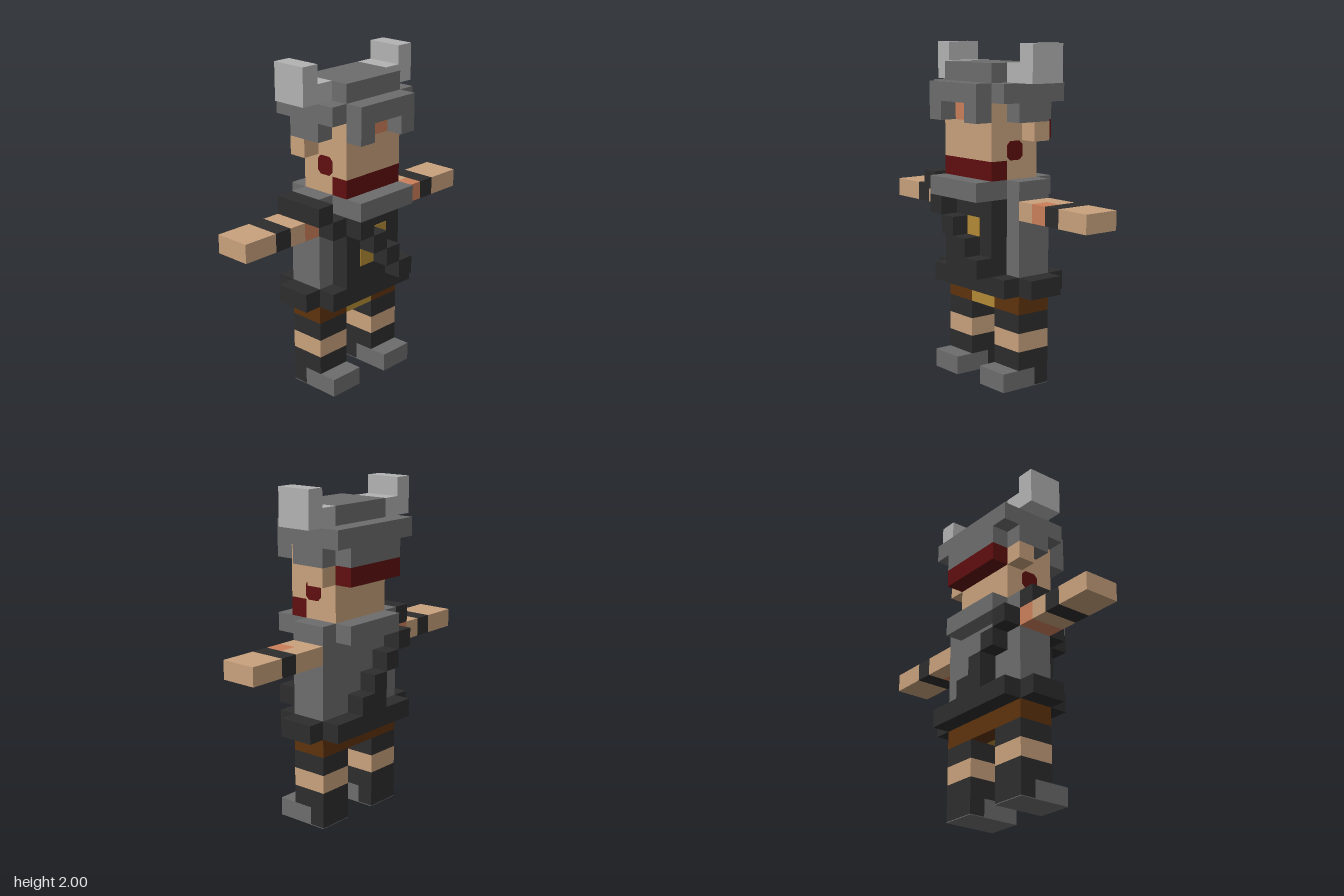
import * as THREE from 'three';

const U = 1 / 9; // one block of the 18-block-tall figure

function material(name, color) {
  const m = new THREE.MeshStandardMaterial({ color });
  m.name = name;
  return m;
}

export function createModel() {
  const model = new THREE.Group();
  model.name = 'hornedWarrior';

  const skin = material('skin', 0xc9a27d);
  const flush = material('flushedSkin', 0xcb7f5b);
  const steel = material('steel', 0x6d6d6d);
  const fur = material('darkFur', 0x2d2d2d);
  const hair = material('redHair', 0x600f0f);
  const gold = material('gold', 0xb38b36);
  const leather = material('brownLeather', 0x5f330d);
  const horn = material('horn', 0xb3b3b3);

  const group = (name) => {
    const g = new THREE.Group();
    g.name = name;
    model.add(g);
    return g;
  };

  // Box between two corners, measured in blocks
  const block = (parent, name, mat, x0, x1, y0, y1, z0, z1) => {
    const geo = new THREE.BoxGeometry((x1 - x0) * U, (y1 - y0) * U, (z1 - z0) * U);
    const mesh = new THREE.Mesh(geo, mat);
    mesh.position.set((x0 + x1) / 2 * U, (y0 + y1) / 2 * U, (z0 + z1) / 2 * U);
    mesh.name = name;
    parent.add(mesh);
  };

  // Same box on the left (+x) or right (-x) side
  const sided = (parent, s, name, mat, x0, x1, ...yz) =>
    block(parent, name, mat, s > 0 ? x0 : -x1, s > 0 ? x1 : -x0, ...yz);

  // Legs with fur bands and steel-toed boots
  for (const s of [1, -1]) {
    const leg = group(s > 0 ? 'leftLeg' : 'rightLeg');
    sided(leg, s, 'bootToe', steel, 1, 3, 0, 1, -0.6, 1.5);
    sided(leg, s, 'bootSole', steel, 1, 3, 0, 0.04, -1.5, -0.6);
    sided(leg, s, 'bootHeel', fur, 1, 3, 0.04, 1, -1.5, -0.6);
    sided(leg, s, 'bootCuff', fur, 1, 3, 1, 2, -1.5, 0.5);
    sided(leg, s, 'knee', skin, 1, 3, 2, 3, -1.5, 0.5);
    sided(leg, s, 'thighBand', fur, 1, 3, 3, 4, -1.5, 0.5);
  }

  // Shorts with a gold buckle
  const shorts = group('shorts');
  block(shorts, 'shortsBack', leather, -3, 3, 4, 5, -1.5, -0.5);
  for (const s of [1, -1]) sided(shorts, s, 'shortsFront', leather, 1, 3, 4, 5, -0.5, 0.5);
  block(shorts, 'buckle', gold, -1, 1, 4, 5, -0.5, 0.5);

  // Fur skirt
  const skirt = group('skirt');
  block(skirt, 'skirtMiddle', fur, -3, 3, 5, 6, -2.5, 1.5);
  for (const s of [1, -1]) sided(skirt, s, 'skirtSide', fur, 3, 4, 5, 6, -1.5, 0.5);

  // Torso, chest fur and steel collar
  const torso = group('torso');
  block(torso, 'mail', steel, -3, 3, 6, 10, -1.5, 0.5);
  block(torso, 'chestFur', fur, -2, 2, 6, 10, 0.5, 1.5);
  block(torso, 'collar', steel, -2, 2, 10, 11, -2.5, 2.5);
  for (const s of [1, -1]) sided(torso, s, 'collarShoulder', steel, 2, 3, 10, 11, -1.5, 0.5);
  block(torso, 'upperGoldPatch', gold, 0, 1, 8, 9, 1.5, 1.54);
  block(torso, 'lowerGoldPatch', gold, -1, 0, 7, 8, 1.5, 1.54);

  // Sash stepping from the right shoulder down the chest and back
  const sash = group('sash');
  block(sash, 'shoulderPad', fur, -4, -3, 10, 11, -1.5, 1.5);
  block(sash, 'sashShoulderFront', fur, -3, -2, 9, 10, 0.5, 1.5);
  for (let i = 0; i < 4; i++) {
    block(sash, 'sashFrontStep', fur, i - 2, i - 1, 9 - i, 10 - i, 1.5, 2.5);
    block(sash, 'sashBackStep', fur, i - 3, i - 2, 9 - i, 10 - i, -2.5, -1.5);
  }
  block(sash, 'sashBackFoot', fur, -1, 0, 6, 7, -2.5, -1.5);

  // Outstretched arms with fur bands
  for (const s of [1, -1]) {
    const arm = group(s > 0 ? 'leftArm' : 'rightArm');
    if (s > 0) {
      block(arm, 'upperArm', skin, 3, 4, 9, 10, -1.5, 0.5);
      block(arm, 'elbowBack', skin, 4, 5, 9, 10, -1.5, -0.5);
      block(arm, 'elbowFlush', flush, 4, 5, 9, 10, -0.5, 0.5);
    } else {
      block(arm, 'upperArmFlush', flush, -4, -3, 9, 10, -1.5, 0.5);
      block(arm, 'elbow', skin, -5, -4, 9, 10, -1.5, 0.5);
    }
    sided(arm, s, 'armBand', fur, 5, 6, 9, 10, -1.5, 0.5);
    sided(arm, s, 'hand', skin, 6, 8, 9, 10, -1.5, 0.5);
  }

  // Head, beard, ears and back hair
  const head = group('head');
  block(head, 'jaw', skin, -2, 2, 11, 12, -1.5, 0.5);
  block(head, 'beard', hair, -2, 2, 11, 12, 0.5, 1.5);
  block(head, 'face', skin, -2, 2, 12, 15, -1.5, 1.5);
  block(head, 'brow', flush, -1, 1, 14, 15, 1.5, 1.54);
  block(head, 'backHair', hair, -2, 2, 13, 14, -2.5, -1.5);
  for (const s of [1, -1]) {
    sided(head, s, 'ear', skin, 2, 3, 13, 14, -1.5, -0.5);
    // Sideburn patch with clipped corners
    const patch = new THREE.Shape();
    [[-0.5, -0.3], [-0.3, -0.5], [0.3, -0.5], [0.5, -0.3], [0.5, 0.3], [0.3, 0.5], [-0.3, 0.5], [-0.5, 0.3]]
      .forEach(([a, b], i) => patch[i ? 'lineTo' : 'moveTo'](a * U, b * U));
    const mesh = new THREE.Mesh(
      new THREE.ExtrudeGeometry(patch, { depth: 0.005, bevelEnabled: false }), hair);
    mesh.rotation.y = s * Math.PI / 2;
    mesh.position.set(s * 2 * U, 12.5 * U, 0);
    mesh.name = 'sideburn';
    head.add(mesh);
  }

  // Helmet
  const helmet = group('helmet');
  block(helmet, 'helmetBrim', steel, -3, 3, 15, 16, -2.5, 1.5);
  block(helmet, 'visor', steel, -2, 2, 15, 16, 1.5, 2.5);
  block(helmet, 'helmetCrown', steel, -2, 2, 16, 17, -1.5, 1.5);
  block(helmet, 'neckGuard', steel, -2, 2, 14, 15, -2.5, -1.5);
  for (const s of [1, -1]) {
    sided(helmet, s, 'visorTab', steel, 1, 2, 14, 15, 1.5, 2.5);
    sided(helmet, s, 'earGuard', steel, 2, 3, 14, 15, -1.5, 0.5);
    sided(helmet, s, 'hornBase', horn, 2, 4, 16, 17, -1.5, 0.5);
    sided(helmet, s, 'hornTip', horn, 3, 4, 17, 18, -1.5, 0.5);
  }

  return model;
}
